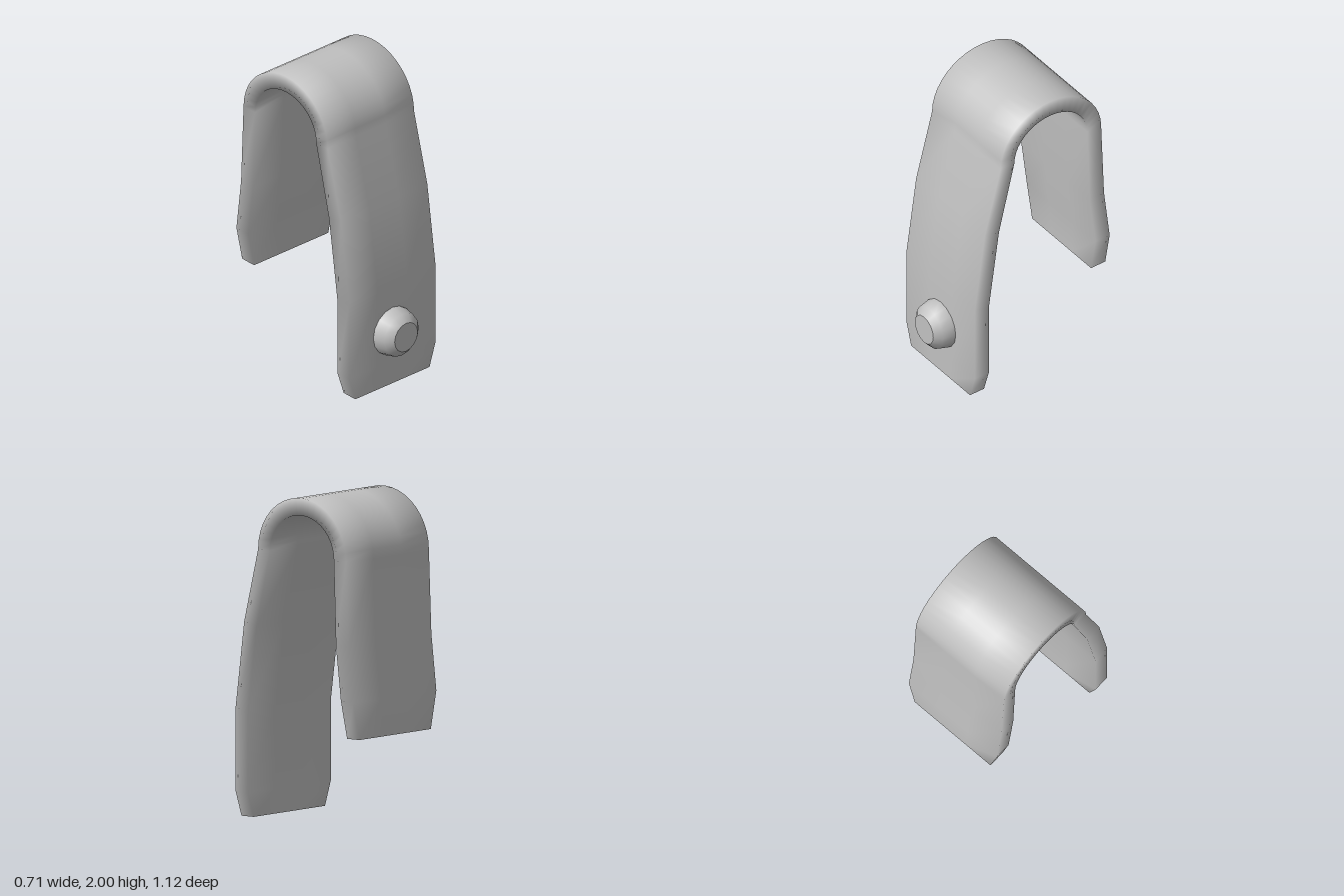
import * as THREE from 'three';

const HALF_WIDTH = 0.355;
const CHAMFERED = 0.305;

// Sections along the strap: [outer z, outer y, inner z, inner y, half width]
function strapSections() {
  const rows = [
    [0.44, 0, 0.337, 0.004, CHAMFERED],
    [0.44, 0.155, 0.337, 0.155, HALF_WIDTH],
    [0.44, 0.67, 0.337, 0.645, HALF_WIDTH],
    [0.367, 1.2, 0.262, 1.18, HALF_WIDTH],
  ];
  // rounded bend over the top
  const steps = 20;
  for (let i = 0; i <= steps; i++) {
    const a = (i / steps) * Math.PI;
    const c = Math.cos(a), s = Math.sin(a);
    rows.push([-0.122 + 0.372 * c, 1.65 + 0.35 * s, -0.122 + 0.27 * c, 1.65 + 0.245 * s, HALF_WIDTH]);
  }
  rows.push(
    [-0.515, 1.14, -0.41, 1.13, HALF_WIDTH],
    [-0.557, 0.8, -0.452, 0.8, HALF_WIDTH],
    [-0.56, 0.57, -0.455, 0.566, CHAMFERED],
  );
  return rows;
}

function strapGeometry() {
  const across = [-1, -0.34, 0.34, 1];
  const n = across.length * 2;
  const rows = strapSections();
  const pos = [], index = [];
  for (const [oz, oy, iz, iy, w] of rows) {
    for (const t of across) pos.push(t * w, oy, oz);
    for (const t of across) pos.push(-t * w, iy, iz);
  }
  // skin between neighbouring sections, smooth all round
  for (let r = 0; r < rows.length - 1; r++) {
    for (let j = 0; j < n; j++) {
      const a = r * n + j, b = r * n + (j + 1) % n;
      index.push(a, b, b + n, a, b + n, a + n);
    }
  }
  // flat end caps with their own corners
  const cap = (row, flip) => {
    const first = pos.length / 3;
    for (const j of [0, across.length - 1, across.length, n - 1]) {
      const k = (row * n + j) * 3;
      pos.push(pos[k], pos[k + 1], pos[k + 2]);
    }
    const q = flip ? [0, 2, 1, 0, 3, 2] : [0, 1, 2, 0, 2, 3];
    index.push(...q.map((v) => first + v));
  };
  cap(0, true);
  cap(rows.length - 1, false);

  const geo = new THREE.BufferGeometry();
  geo.setAttribute('position', new THREE.Float32BufferAttribute(pos, 3));
  geo.setIndex(index);
  geo.computeVertexNormals();
  return geo;
}

export function createModel() {
  const model = new THREE.Group();
  model.name = 'strapClip';
  const metal = new THREE.MeshStandardMaterial({ color: 0xc0c0c0 });
  metal.name = 'grey metal';

  // bent strap
  const strap = new THREE.Mesh(strapGeometry(), metal);
  strap.name = 'bentStrap';
  model.add(strap);

  // domed stud low on the front leg
  const stud = new THREE.Group();
  stud.name = 'stud';
  stud.position.set(0, 0.36, 0.43);
  stud.rotation.x = Math.PI / 2;
  const profile = [[0.157, 0], [0.156, 0.025], [0.14, 0.092], [0.095, 0.132]]
    .map(([r, h]) => new THREE.Vector2(r, h));
  const dome = new THREE.Mesh(new THREE.LatheGeometry(profile, 16), metal);
  dome.name = 'studSide';
  const face = new THREE.Mesh(new THREE.CircleGeometry(0.095, 16), metal);
  face.name = 'studFace';
  face.rotation.set(-Math.PI / 2, 0, 0);
  face.position.y = 0.132;
  stud.add(dome, face);
  model.add(stud);

  return model;
}
